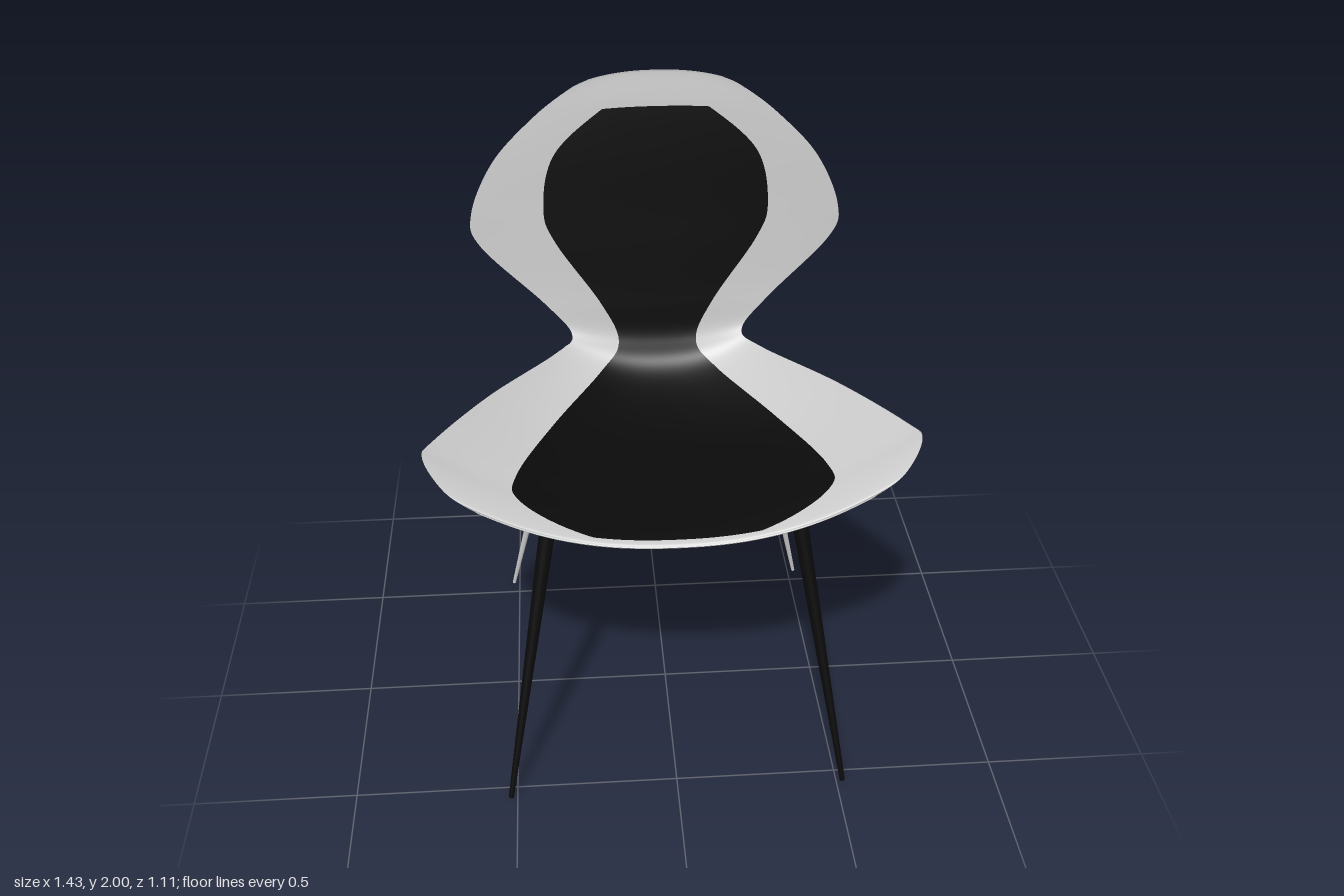
import * as THREE from 'three';

// Stations from the front lip of the seat, through the waist, to the top of the back:
// [half width, rim y, rim z, centre y, centre z, thickness dy, thickness dz, pad half width]
const STATIONS = [
  [.56, 1.035, .485, .925, .535, 0, 0, .05],
  [.65, 1.095, .46, .935, .517, -.02, 0, .24],
  [.712, 1.155, .375, .942, .43, -.03, 0, .44],
  [.685, 1.155, .28, .945, .3, -.03, 0, .455],
  [.53, 1.135, 0, .955, 0, -.03, 0, .34],
  [.33, 1.115, -.28, 1.02, -.27, -.03, -.01, .185],
  [.275, 1.145, -.348, 1.11, -.345, -.015, -.035, .125],
  [.36, 1.25, -.37, 1.25, -.362, 0, -.055, .18],
  [.55, 1.44, -.395, 1.46, -.374, 0, -.072, .315],
  [.575, 1.55, -.4, 1.58, -.38, 0, -.075, .35],
  [.5, 1.72, -.4, 1.76, -.386, 0, -.062, .31],
  [.37, 1.86, -.4, 1.9, -.392, 0, -.04, .15],
  [.26, 1.945, -.4, 1.985, -.4, 0, -.013, 0],
  [.2, 1.975, -.4, 2, -.4, 0, 0, 0],
];
const LAST = STATIONS.length - 1;

// Smooth curves through the stations, all sharing one parameter
const spline = (pick) => new THREE.CatmullRomCurve3(
  STATIONS.map((s) => new THREE.Vector3(...pick(s))), false, 'catmullrom');
const rim = spline((s) => [s[0], s[1], s[2]]);
const centre = spline((s) => [s[7], s[3], s[4]]);
const depth = spline((s) => [0, s[5], s[6]]);

// Point on the sitting face: v = 0..1 along the stations, u = -1..1 across
function facePoint(v, u) {
  const r = rim.getPoint(v), c = centre.getPoint(v);
  const k = Math.pow(Math.abs(u), 2.3);
  return new THREE.Vector3(r.x * u, c.y + (r.y - c.y) * k, c.z + (r.z - c.z) * k);
}

// Smooth surface through a grid of points
function gridGeometry(rows, cols, pointAt) {
  const pos = [], idx = [];
  for (let i = 0; i <= rows; i++) {
    for (let j = 0; j <= cols; j++) pos.push(...pointAt(i / rows, j / cols).toArray());
  }
  for (let i = 0; i < rows; i++) {
    for (let j = 0; j < cols; j++) {
      const a = i * (cols + 1) + j, c = a + cols + 1;
      idx.push(a, a + 1, c, a + 1, c + 1, c);
    }
  }
  const g = new THREE.BufferGeometry();
  g.setAttribute('position', new THREE.Float32BufferAttribute(pos, 3));
  g.setIndex(idx);
  g.computeVertexNormals();
  return g;
}

// Closed lens-like section: across the face, then back along the underside
function shellPoint(v, h) {
  const u = -Math.cos(h * Math.PI * 2);
  const p = facePoint(v, u);
  if (h > 0.5) {
    const swell = Math.pow(Math.max(0, 1 - u ** 4), 0.6);
    p.addScaledVector(depth.getPoint(v), swell);
  }
  return p;
}

// Upholstery lying just above the face
function padPoint(s, h) {
  const v = (1 + s * 9.93) / LAST;
  const half = centre.getPoint(v).x / rim.getPoint(v).x;
  const lift = depth.getPoint(v).normalize();
  return facePoint(v, (h * 2 - 1) * half).addScaledVector(lift, -0.005);
}

// Tapered leg with a rounded top
function leg(name, top, foot, rTop, rFoot, material) {
  const a = new THREE.Vector3(...top), b = new THREE.Vector3(...foot);
  const dir = a.clone().sub(b);
  const length = dir.length();
  const group = new THREE.Group();
  group.name = name;
  const shaft = new THREE.Mesh(new THREE.CylinderGeometry(rTop, rFoot, length, 20), material);
  const cap = new THREE.Mesh(new THREE.SphereGeometry(rTop, 20, 10, 0, Math.PI * 2, 0, Math.PI / 2), material);
  shaft.name = name + 'Shaft';
  cap.name = name + 'Cap';
  cap.position.y = length / 2;
  group.add(shaft, cap);
  group.position.copy(a).add(b).multiplyScalar(0.5);
  group.quaternion.setFromUnitVectors(new THREE.Vector3(0, 1, 0), dir.normalize());
  return group;
}

export function createModel() {
  const model = new THREE.Group();
  model.name = 'chair';
  const grey = new THREE.MeshStandardMaterial({ color: 0xcccccc, side: THREE.DoubleSide });
  const black = new THREE.MeshStandardMaterial({ color: 0x0a0a0a, side: THREE.DoubleSide });

  const shell = new THREE.Mesh(gridGeometry(130, 96, shellPoint), grey);
  shell.name = 'seatShell';
  const pad = new THREE.Mesh(gridGeometry(120, 32, padPoint), black);
  pad.name = 'seatPad';
  model.add(shell, pad);

  for (const [side, s] of [['left', 1], ['right', -1]]) {
    model.add(
      leg(side + 'FrontLeg', [s * .36, .95, .345], [s * .52, .002, .545], .025, .008, black),
      leg(side + 'BackLeg', [s * .285, 1.085, -.34], [s * .52, .008, -.547], .024, .006, grey),
    );
  }
  return model;
}
